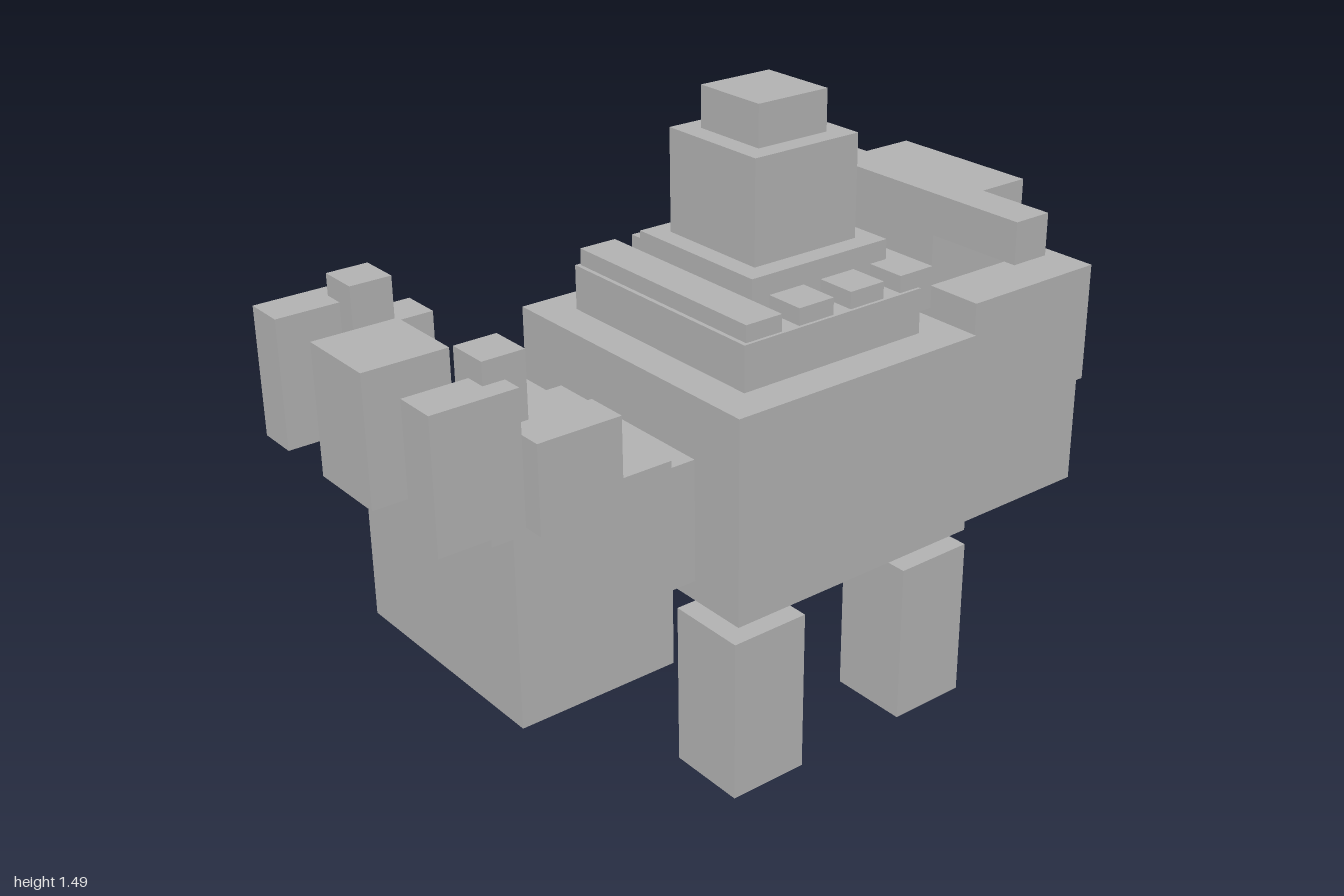
import * as THREE from 'three';

const grey = new THREE.MeshStandardMaterial({ color: 0xb2b2b2 });
grey.name = 'plainGrey';

export function createModel() {
  const model = new THREE.Group();
  model.name = 'blockyWalker';

  // Box from its lower and upper limits on each axis
  const box = (name, [x0, x1], [y0, y1], [z0, z1]) => {
    const mesh = new THREE.Mesh(new THREE.BoxGeometry(x1 - x0, y1 - y0, z1 - z0), grey);
    mesh.name = name;
    mesh.position.set((x0 + x1) / 2, (y0 + y1) / 2, (z0 + z1) / 2);
    model.add(mesh);
  };
  // Box centred on x = 0
  const centred = (name, half, y, z) => box(name, [-half, half], y, z);
  // Box on the left and its mirror on the right
  const pair = (name, [x0, x1], y, z) => {
    box(name + 'Left', [x0, x1], y, z);
    box(name + 'Right', [-x1, -x0], y, z);
  };

  // Body and legs
  centred('body', 0.41, [0.41, 0.925], [-0.435, 0.283]);
  pair('frontLeg', [0.256, 0.461], [0, 0.41], [0.13, 0.335]);
  pair('backLeg', [0.256, 0.461], [0, 0.41], [-0.384, -0.179]);

  // Head block with its upright parts
  centred('neck', 0.256, [0.461, 0.77], [0.283, 0.387]);
  centred('head', 0.307, [0.31, 0.82], [0.387, 0.795]);
  centred('snout', 0.102, [0.82, 1.128], [0.795, 1]);
  pair('frontPost', [0.256, 0.357], [0.82, 1.128], [0.795, 1]);
  pair('tallPost', [0.205, 0.307], [0.77, 1.18], [0.745, 0.847]);
  pair('ear', [0.307, 0.41], [0.82, 1.026], [0.59, 0.795]);
  pair('earStub', [0.205, 0.307], [0.82, 0.97], [0.642, 0.744]);

  // Stepped tower on the back
  centred('deck', 0.315, [0.925, 1.038], [-0.342, 0.19]);
  for (const z of [0.077, -0.385]) centred('deckRail', 0.307, [0.975, 1.08], [z, z + 0.102]);
  for (const z of [-0.076, -0.23]) pair('deckStud', [0.2, 0.307], [0.975, 1.08], [z, z + 0.102]);
  centred('towerBase', 0.205, [1.03, 1.13], [-0.333, 0.077]);
  centred('tower', 0.153, [1.13, 1.385], [-0.281, 0.026]);
  centred('towerCap', 0.102, [1.385, 1.487], [-0.23, -0.026]);

  // Rear block with shoulders, roof and crossbar
  centred('rearNeck', 0.256, [0.461, 0.77], [-0.488, -0.435]);
  centred('rearBlock', 0.256, [0.31, 0.717], [-1, -0.488]);
  centred('rearPlate', 0.153, [0.717, 0.77], [-1, -0.488]);
  pair('rearShoulder', [0.153, 0.357], [0.667, 0.975], [-0.897, -0.488]);
  centred('rearRoof', 0.205, [0.77, 1.18], [-0.795, -0.488]);
  centred('crossbar', 0.512, [1.13, 1.232], [-0.538, -0.436]);

  return model;
}
